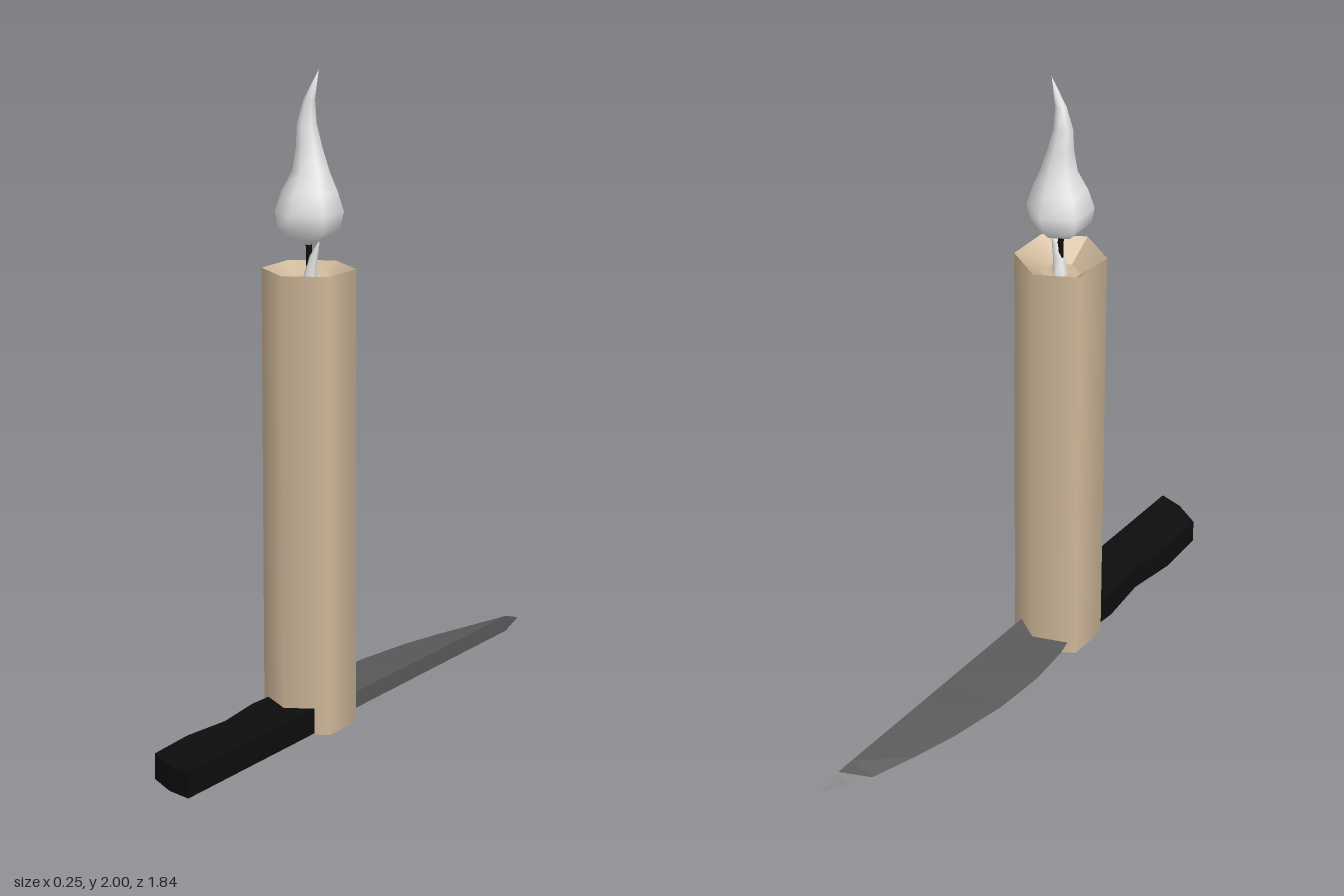
import * as THREE from 'three';
import { mergeVertices } from 'three/addons/utils/BufferGeometryUtils.js';

const CANDLE_Z = 0.19, SIDES = 6;

// Smooth six-sided body from rows of [y, centre x, radius], listed top to bottom
function stackedBody(rows) {
  const g = new THREE.CylinderGeometry(1, 1, 1, SIDES, rows.length - 1, true);
  const p = g.attributes.position;
  for (let i = 0; i < p.count; i++) {
    const [y, cx, r] = rows[Math.floor(i / (SIDES + 1))];
    p.setXYZ(i, cx + p.getX(i) * r, y, p.getZ(i) * r);
  }
  g.deleteAttribute('uv');
  g.deleteAttribute('normal');
  const merged = mergeVertices(g);
  merged.computeVertexNormals();
  return merged;
}

// Wedge blade: thick straight spine on +x, thin curved edge on -x
function bladeGeometry() {
  const spine = 0.075, mid = 0.04;
  // [z, edge x, half thickness of spine]
  const rows = [
    [0.19, -0.08, 0.026], [0.12, -0.095, 0.026], [0.05, -0.112, 0.026], [-0.1, -0.127, 0.026],
    [-0.28, -0.12, 0.026], [-0.48, -0.088, 0.026], [-0.63, -0.05, 0.026],
    [-0.78, -0.004, 0.026], [-0.845, 0.034, 0.026], [-0.92, 0.074, 0.001],
  ];
  const pos = [];
  const ring = ([z, edge, t]) => [[spine, mid + t, z], [spine, mid - t, z], [edge, mid, z]];
  for (let i = 0; i < rows.length - 1; i++) {
    const A = ring(rows[i]), B = ring(rows[i + 1]);
    for (let k = 0; k < 3; k++) {
      const n = (k + 1) % 3;
      pos.push(...A[k], ...A[n], ...B[n], ...A[k], ...B[n], ...B[k]);
    }
  }
  const g = new THREE.BufferGeometry();
  g.setAttribute('position', new THREE.Float32BufferAttribute(pos, 3));
  g.computeVertexNormals();
  return g;
}

// Handle outline in x and z, extruded upwards
function handleGeometry() {
  const outline = [
    [0.08, 0.19], [0.08, 0.917], [0, 0.9], [-0.09, 0.85], [-0.1, 0.68],
    [-0.08, 0.52], [-0.1, 0.35], [-0.09, 0.19],
  ].map(([x, z]) => new THREE.Vector2(x, z));
  const g = new THREE.ExtrudeGeometry(new THREE.Shape(outline), { depth: 0.079, bevelEnabled: false });
  return g.rotateX(Math.PI / 2).translate(0, 0.083, 0);
}

export function createModel() {
  const model = new THREE.Group();
  const mat = (name, color) => {
    const m = new THREE.MeshStandardMaterial({ color });
    m.name = name;
    return m;
  };
  const wax = mat('tan wax', 0xcdb698);
  const white = mat('pale flame', 0xe7e7e7);
  const steel = mat('grey steel', 0x5a5a5a);
  const black = mat('black', 0x0d0d0d);

  const add = (parent, name, geometry, material, y = 0) => {
    const mesh = new THREE.Mesh(geometry, material);
    mesh.name = name;
    mesh.position.y = y;
    parent.add(mesh);
    return mesh;
  };

  // Candle: hexagonal wall, base, hollow top
  const candle = new THREE.Group();
  candle.name = 'candle';
  candle.position.z = CANDLE_Z;
  model.add(candle);
  add(candle, 'candleWall', new THREE.CylinderGeometry(0.14, 0.14, 1.41, SIDES, 1, true), wax, 0.705);
  const disc = (r) => new THREE.CircleGeometry(r, SIDES, Math.PI / 2);
  add(candle, 'candleBase', disc(0.14).rotateX(Math.PI / 2), wax);
  const hollow = new THREE.CylinderGeometry(0.14, 0.06, 0.06, SIDES, 1, true);
  hollow.setIndex(Array.from(hollow.index.array).reverse()); // face inwards
  hollow.computeVertexNormals();
  add(candle, 'meltedHollow', hollow, wax, 1.38);
  add(candle, 'hollowFloor', disc(0.06).rotateX(-Math.PI / 2), wax, 1.35);

  // Wick and the small pale wisp beside it
  add(candle, 'wick', new THREE.CylinderGeometry(0.009, 0.009, 0.16, SIDES), black, 1.425);
  add(candle, 'wisp', stackedBody([
    [1.495, 0.037, 0.002], [1.45, 0.018, 0.012], [1.4, 0.006, 0.018], [1.35, 0, 0.024],
  ]), white);

  // Swaying flame
  add(candle, 'flame', stackedBody([
    [2.0, 0.037, 0], [1.91, 0.003, 0.017], [1.84, -0.006, 0.029], [1.77, 0.002, 0.039],
    [1.7, 0.008, 0.055], [1.64, 0.003, 0.083], [1.58, 0.002, 0.102], [1.53, 0, 0.092],
    [1.5, 0, 0.062], [1.478, 0, 0],
  ]), white);

  // Knife lying under the candle
  const knife = new THREE.Group();
  knife.name = 'knife';
  model.add(knife);
  add(knife, 'blade', bladeGeometry(), steel);
  add(knife, 'handle', handleGeometry(), black);

  return model;
}
